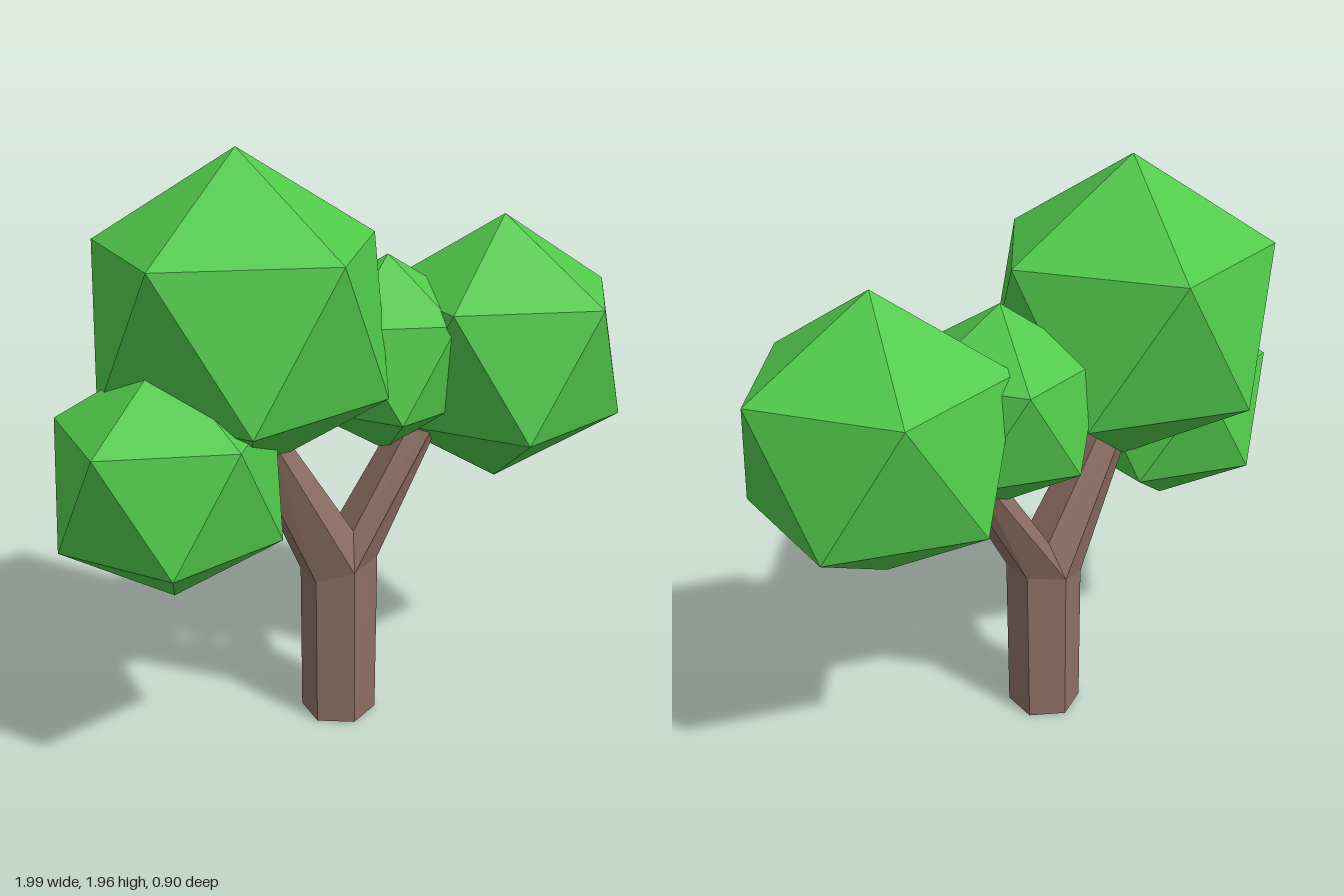
import * as THREE from 'three';

const bark = new THREE.MeshStandardMaterial({ color: 0x8d6e63, flatShading: true });
const leaf = new THREE.MeshStandardMaterial({ color: 0x50c84a, flatShading: true });
const Z = 0.015; // depth of the trunk axis

// Six-sided cross-section from its left, middle and right [x, y] points, counter-clockwise from above
function ring(left, mid, right, r) {
  return [[right, 0.5], [right, -0.5], [mid, -1], [left, -0.5], [left, 0.5], [mid, 1]]
    .map(([p, k]) => [p[0], p[1], Z + k * r]);
}

// Closed, faceted limb between two cross-sections
function limb(name, lower, upper, capBottom, capTop) {
  const pos = [];
  const tri = (...pts) => pts.forEach((p) => pos.push(...p));
  for (let i = 0; i < 6; i++) {
    const j = (i + 1) % 6;
    tri(lower[i], lower[j], upper[j]);
    tri(lower[i], upper[j], upper[i]);
    if (i > 0 && i < 5) {
      if (capBottom) tri(lower[0], lower[j], lower[i]);
      if (capTop) tri(upper[0], upper[i], upper[j]);
    }
  }
  const geo = new THREE.BufferGeometry();
  geo.setAttribute('position', new THREE.Float32BufferAttribute(pos, 3));
  geo.computeVertexNormals();
  const mesh = new THREE.Mesh(geo, bark);
  mesh.name = name;
  return mesh;
}

// Icosahedron standing on a vertex, with an upper ring vertex towards +x
function foliage(name, r, x, y, z) {
  const geo = new THREE.IcosahedronGeometry(r, 0);
  geo.rotateZ(-Math.atan(2 / (1 + Math.sqrt(5))));
  const mesh = new THREE.Mesh(geo, leaf);
  mesh.name = name;
  mesh.position.set(x, y, z);
  return mesh;
}

export function createModel() {
  const tree = new THREE.Group();
  tree.name = 'tree';

  // Trunk and the fork, whose two limbs share the crotch edge
  const outerR = [-0.147, 0.535], outerL = [0.083, 0.585];
  const mid = [-0.035, 0.57], crotch = [-0.008, 0.695];
  tree.add(
    limb('trunk', ring([-0.147, 0], [-0.035, 0], [0.077, 0], 0.128), ring(outerR, mid, outerL, 0.125), true, false),
    limb('rightBranch', ring(outerR, mid, crotch, 0.125),
      ring([-0.38, 1.06], [-0.32, 1.1], [-0.265, 1.1], 0.09), false, true),
    limb('leftBranch', ring(crotch, mid, outerL, 0.125),
      ring([0.25, 1.1], [0.315, 1.1], [0.36, 1.09], 0.09), false, true),
  );

  // Foliage clumps
  tree.add(
    foliage('topFoliage', 0.52, -0.355, 1.442, -0.012),
    foliage('leftFoliage', 0.464, 0.58, 1.237, 0.017),
    foliage('lowRightFoliage', 0.391, -0.65, 1.01, 0.115),
    foliage('middleFoliage', 0.338, 0.175, 1.254, -0.043),
  );
  return tree;
}
